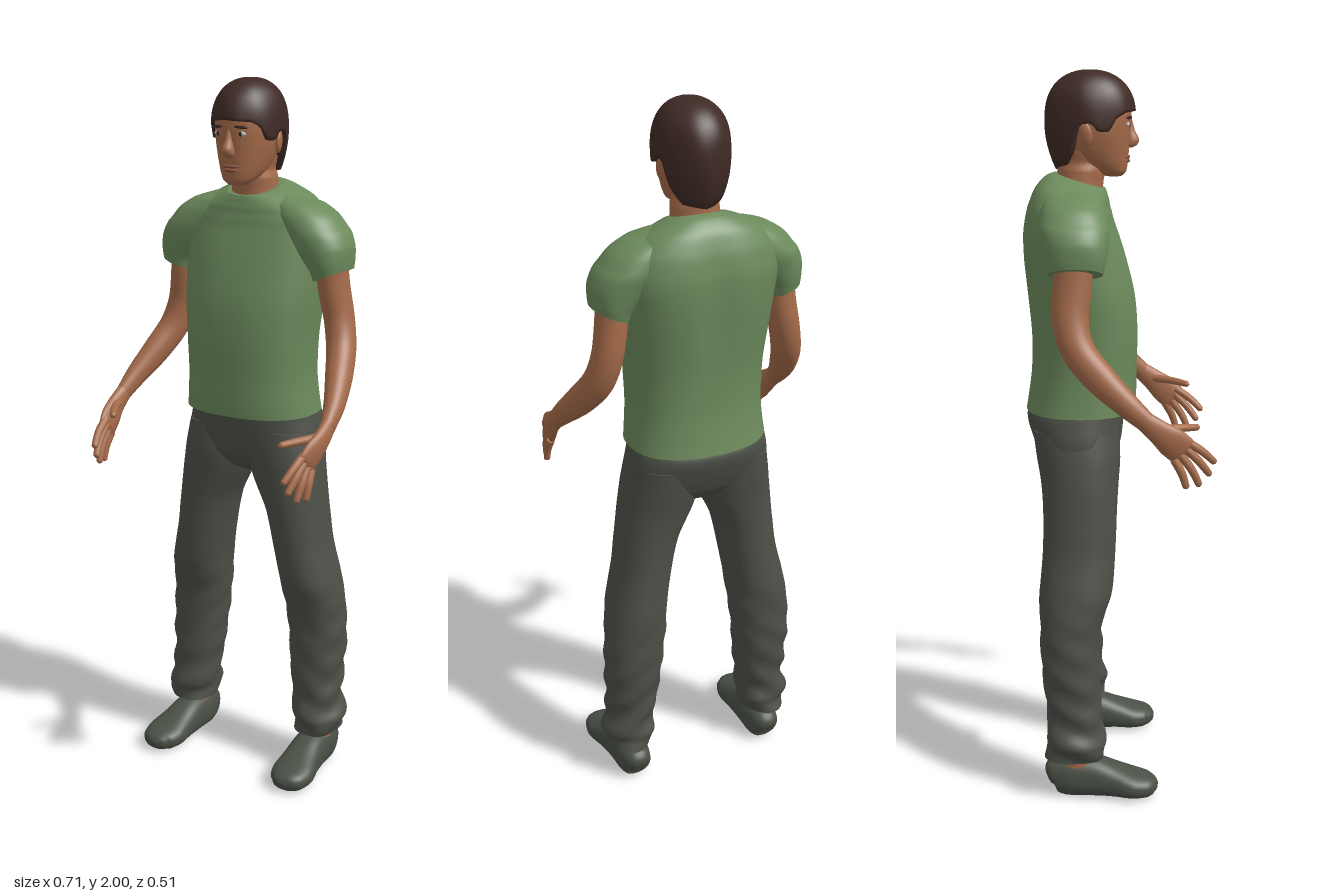
import * as THREE from 'three';

const mat = (name, color, side = THREE.FrontSide) => {
  const m = new THREE.MeshStandardMaterial({ color, side });
  m.name = name;
  return m;
};

// Closed-around grid: fn(i, j) returns a point, columns wrap, rows stay open
function grid(cols, rows, fn) {
  const pos = [], idx = [];
  for (let j = 0; j < rows; j++) {
    for (let i = 0; i < cols; i++) {
      pos.push(...fn(i, j).toArray());
      if (j === rows - 1) continue;
      const a = j * cols + i, b = j * cols + (i + 1) % cols;
      idx.push(a, b, b + cols, a, b + cols, a + cols);
    }
  }
  const g = new THREE.BufferGeometry();
  g.setAttribute('position', new THREE.Float32BufferAttribute(pos, 3));
  g.setIndex(idx);
  g.computeVertexNormals();
  return g;
}

// Smooth capped loft through sections [x, y, z, radiusA, radiusB, slopeX, slopeZ]
function loft(secs, { upright = false, power = 2, cols = 32, steps = 5, shape = null } = {}) {
  const curve = (f) => new THREE.CatmullRomCurve3(secs.map(f));
  const centre = curve((s) => new THREE.Vector3(s[0], s[1], s[2]));
  const radius = curve((s) => new THREE.Vector3(s[3], s[4], 0));
  const slope = curve((s) => new THREE.Vector3(s[5] || 0, s[6] || 0, 0));
  const n = (secs.length - 1) * steps;
  const up = Math.sign(secs[secs.length - 1][1] - secs[0][1]);
  const sgnPow = (v) => Math.sign(v) * Math.abs(v) ** (2 / power);
  const rings = [];
  for (let k = 0; k <= n; k++) {
    const t = k / n, c = centre.getPoint(t);
    const dir = upright ? new THREE.Vector3(0, up, 0) : centre.getTangent(t);
    const u = new THREE.Vector3(1, 0, 0).addScaledVector(dir, -dir.x).normalize();
    rings.push({ c, u, v: dir.clone().cross(u), r: radius.getPoint(t), s: slope.getPoint(t) });
  }
  // two extra rows at each end make a cap with a crisp rim
  return grid(cols, n + 5, (i, j) => {
    const { c, u, v, r, s } = rings[Math.min(Math.max(j - 2, 0), n)];
    const k = j === 0 || j === n + 4 ? 0 : 1;
    const a = (i / cols) * Math.PI * 2;
    const p = c.clone()
      .addScaledVector(u, k * r.x * sgnPow(Math.cos(a)))
      .addScaledVector(v, k * r.y * sgnPow(Math.sin(a)));
    p.y += s.x * (p.x - c.x) + s.y * (p.z - c.z);
    if (shape) shape(p);
    return p;
  });
}

// Section given by height, centre x, half width, front z and back z
const slice = (y, x, a, front, back, sx = 0, sz = 0) =>
  [x, y, (front + back) / 2, a, (front - back) / 2, sx, sz];

const ball = (x, y, z, rx, ry, rz) =>
  new THREE.SphereGeometry(1, 20, 14).scale(rx, ry, rz).translate(x, y, z);

export function createModel() {
  const skin = mat('skin', 0xa56b4a), shirt = mat('shirtGreen', 0x6c8a5c);
  const cloth = mat('trouserGrey', 0x4c5047), leather = mat('shoeGrey', 0x4a5046);
  const hairMat = mat('hairBrown', 0x3f2a25, THREE.DoubleSide), lip = mat('lipBrown', 0x8c5140);
  const white = mat('eyeWhite', 0xc4c4c0), dark = mat('irisDark', 0x2a221f);

  const model = new THREE.Group();
  model.name = 'standingMan';
  const add = (name, geo, material) => {
    const mesh = new THREE.Mesh(geo, material);
    mesh.name = name;
    model.add(mesh);
    return mesh;
  };
  const pair = (name, geo, material) => {
    add('left' + name, geo, material);
    add('right' + name, geo, material).scale.x = -1;
  };

  // Shirt body, with a groove down the spine
  add('shirtBody', loft([
    slice(1.085, 0, 0.195, 0.053, -0.252), slice(1.12, 0, 0.191, 0.055, -0.246),
    slice(1.2, 0, 0.186, 0.056, -0.236), slice(1.3, 0, 0.19, 0.058, -0.236),
    slice(1.4, 0, 0.2, 0.05, -0.246), slice(1.5, 0, 0.208, 0.026, -0.256),
    slice(1.58, 0, 0.213, 0, -0.256), slice(1.635, 0, 0.2, -0.013, -0.243, 0, -0.08),
    slice(1.675, 0, 0.16, -0.02, -0.222, 0, -0.18), slice(1.7, 0, 0.105, -0.026, -0.192, 0, -0.27),
    slice(1.709, 0, 0.076, -0.03, -0.172, 0, -0.3),
  ], {
    upright: true, power: 2.35, cols: 56,
    shape: (p) => {
      const level = Math.exp(-(((p.y - 1.5) / 0.17) ** 2));
      if (p.z < -0.15) p.z += 0.014 * level * Math.exp(-((p.x / 0.045) ** 2));
    },
  }), shirt);

  // Sleeves, hem sloping up to the outside
  pair('Sleeve', loft([
    slice(1.483, 0.246, 0.047, -0.035, -0.178, 0.4), slice(1.51, 0.241, 0.054, -0.028, -0.185, 0.3),
    slice(1.555, 0.218, 0.076, -0.02, -0.196, 0.1), slice(1.6, 0.19, 0.087, -0.02, -0.205),
    slice(1.64, 0.155, 0.088, -0.03, -0.2), slice(1.668, 0.125, 0.075, -0.045, -0.19),
    slice(1.69, 0.1, 0.03, -0.08, -0.15),
  ], { upright: true, power: 2.2, cols: 40 }), shirt);

  // Arms
  pair('Arm', loft([
    [0.235, 1.55, -0.108, 0.042, 0.05], [0.243, 1.45, -0.115, 0.042, 0.051],
    [0.259, 1.36, -0.12, 0.041, 0.048], [0.277, 1.29, -0.1, 0.041, 0.045],
    [0.303, 1.22, -0.042, 0.037, 0.042], [0.327, 1.155, 0.028, 0.028, 0.033],
    [0.337, 1.11, 0.08, 0.019, 0.026],
  ]), skin);

  // Hands: palm, four fingers and a thumb
  pair('Palm', loft([
    [0.336, 1.118, 0.07, 0.019, 0.026], [0.337, 1.085, 0.112, 0.018, 0.033],
    [0.332, 1.058, 0.145, 0.017, 0.041], [0.326, 1.034, 0.172, 0.013, 0.04],
    [0.323, 1.028, 0.179, 0.006, 0.032],
  ], { cols: 24 }), skin);
  const fingers = [
    [[0.324, 1.06, 0.18], [0.318, 1.032, 0.222], [0.307, 1.0, 0.256]],
    [[0.325, 1.043, 0.177], [0.321, 1.005, 0.215], [0.312, 0.968, 0.243]],
    [[0.327, 1.026, 0.165], [0.327, 0.982, 0.197], [0.323, 0.942, 0.216]],
    [[0.329, 1.012, 0.15], [0.333, 0.975, 0.17], [0.333, 0.938, 0.182]],
    [[0.328, 1.092, 0.115], [0.303, 1.09, 0.165], [0.273, 1.085, 0.212]],
  ];
  fingers.forEach(([a, b, c], k) => {
    const d = c.map((v, i) => v + (c[i] - b[i]) * 0.12);
    pair(k === 4 ? 'Thumb' : 'Finger' + (k + 1), loft([
      [...a, 0.012, 0.012], [...b, 0.011, 0.011], [...c, 0.009, 0.009], [...d, 0.003, 0.003],
    ], { cols: 12 }), skin);
  });

  // Trouser seat and legs with soft folds near the cuffs
  add('trouserSeat', loft([
    slice(1.105, 0, 0.186, 0.02, -0.235), slice(1.07, 0, 0.194, 0.021, -0.25),
    slice(1.01, 0, 0.205, 0.015, -0.236), slice(0.96, 0, 0.2, 0.004, -0.215),
    slice(0.925, 0, 0.13, -0.02, -0.185), slice(0.905, 0, 0.05, -0.05, -0.15),
  ], { upright: true, power: 2.4, cols: 48 }), cloth);
  pair('TrouserLeg', loft([
    slice(1.04, 0.105, 0.092, 0.005, -0.23), slice(0.96, 0.107, 0.106, 0.01, -0.22),
    slice(0.9, 0.118, 0.104, 0.006, -0.21), slice(0.8, 0.147, 0.086, 0, -0.203),
    slice(0.7, 0.165, 0.081, -0.004, -0.205), slice(0.6, 0.185, 0.084, -0.012, -0.214),
    slice(0.54, 0.193, 0.087, -0.03, -0.214), slice(0.48, 0.199, 0.087, -0.048, -0.212),
    slice(0.4, 0.205, 0.084, -0.05, -0.21), slice(0.3, 0.208, 0.077, -0.046, -0.2),
    slice(0.22, 0.214, 0.07, -0.042, -0.192), slice(0.17, 0.221, 0.077, -0.032, -0.2),
    slice(0.145, 0.221, 0.07, -0.036, -0.195), slice(0.117, 0.22, 0.063, -0.034, -0.2),
  ], {
    upright: true, power: 2.15, cols: 40,
    shape: (p) => {
      const fold = 0.004 * THREE.MathUtils.smoothstep(0.7 - p.y, 0, 0.5);
      p.x += fold * Math.sin(p.y * 70 + p.z * 35);
      p.z += fold * Math.sin(p.y * 60 + p.x * 45);
    },
  }), cloth);

  // Ankles and flat-soled shoes
  pair('Ankle', loft([slice(0.15, 0.217, 0.042, -0.06, -0.165), slice(0.09, 0.217, 0.042, -0.06, -0.165)],
    { upright: true }), skin);
  pair('Shoe', loft([
    [0.214, 0.045, -0.192, 0.016, 0.02], [0.214, 0.052, -0.178, 0.04, 0.048],
    [0.215, 0.056, -0.13, 0.05, 0.06], [0.217, 0.054, -0.07, 0.051, 0.058],
    [0.221, 0.044, -0.01, 0.056, 0.046], [0.226, 0.034, 0.045, 0.063, 0.036],
    [0.227, 0.03, 0.085, 0.053, 0.03], [0.226, 0.027, 0.105, 0.034, 0.021],
    [0.226, 0.025, 0.115, 0.012, 0.01],
  ], { power: 2.4, shape: (p) => { p.y = Math.max(p.y, 0.006 - 0.06 * Math.min(0.1, Math.max(0, -p.z))); } }), leather);

  // Neck and head
  add('neck', loft([
    slice(1.65, 0, 0.075, -0.035, -0.17), slice(1.7, 0, 0.066, -0.036, -0.164),
    slice(1.74, 0, 0.063, -0.03, -0.16), slice(1.79, 0, 0.063, -0.03, -0.16),
  ], { upright: true }), skin);
  add('head', loft([
    slice(1.72, 0, 0.025, 0.014, -0.03), slice(1.732, 0, 0.042, 0.026, -0.06),
    slice(1.757, 0, 0.058, 0.031, -0.11), slice(1.79, 0, 0.07, 0.034, -0.145),
    slice(1.83, 0, 0.079, 0.037, -0.165), slice(1.87, 0, 0.082, 0.041, -0.175),
    slice(1.91, 0, 0.083, 0.04, -0.175), slice(1.95, 0, 0.07, 0.02, -0.155),
    slice(1.975, 0, 0.03, -0.03, -0.1),
  ], { upright: true, power: 2.2, cols: 40 }), skin);
  add('nose', loft([
    slice(1.868, 0, 0.009, 0.042, 0.02), slice(1.84, 0, 0.011, 0.05, 0.02),
    slice(1.815, 0, 0.017, 0.061, 0.02), slice(1.802, 0, 0.017, 0.055, 0.02),
    slice(1.795, 0, 0.009, 0.042, 0.022),
  ], { upright: true, cols: 20 }), skin);
  pair('Ear', ball(0, 0, 0, 0.009, 0.031, 0.019).rotateY(0.35).rotateX(-0.15).translate(0.084, 1.832, -0.082), skin);

  // Face details
  pair('Eye', ball(0.035, 1.857, 0.03, 0.014, 0.0065, 0.006), white);
  pair('Iris', ball(0.035, 1.857, 0.0335, 0.006, 0.006, 0.0035), dark);
  pair('Brow', ball(0, 0, 0, 0.02, 0.0045, 0.005).rotateZ(-0.05).rotateY(0.3).translate(0.037, 1.875, 0.034), hairMat);
  add('upperLip', ball(0, 1.771, 0.027, 0.027, 0.0055, 0.01), lip);
  add('lowerLip', ball(0, 1.761, 0.027, 0.022, 0.006, 0.01), lip);

  // Short hair: a cap whose lower edge follows fringe, sideburns, ears and nape
  const edge = [[0, 1.893], [40, 1.888], [54, 1.875], [64, 1.84], [78, 1.838], [88, 1.862],
    [104, 1.858], [116, 1.79], [135, 1.752], [181, 1.738]];
  const hairline = (deg) => {
    const k = edge.findIndex((e) => e[0] > deg), [a, ya] = edge[k - 1], [b, yb] = edge[k];
    return THREE.MathUtils.lerp(ya, yb, (deg - a) / (b - a));
  };
  add('hair', grid(72, 22, (i, j) => {
    const a = (i / 72) * Math.PI * 2;
    const deg = Math.abs(THREE.MathUtils.radToDeg(a > Math.PI ? a - 2 * Math.PI : a));
    const low = hairline(deg), t = Math.max(j - 1, 0) / 20;
    const y = low + (1.999 - low) * Math.sin(t * Math.PI / 2);
    const d = (y - 1.87) / 0.1295;
    let s = d > 0 ? Math.max(0, 1 - d ** 2.4) ** (1 / 2.2) : 1 - 0.24 * d * d;
    s *= j === 0 ? 0.8 : 1 + 0.012 * Math.sin(7 * a + 3 * d) * (1 - t);
    if (j === 21) s = 0;
    return new THREE.Vector3(0.097 * s * Math.sin(a), y, -0.071 + 0.123 * s * Math.cos(a));
  }), hairMat);

  return model;
}
